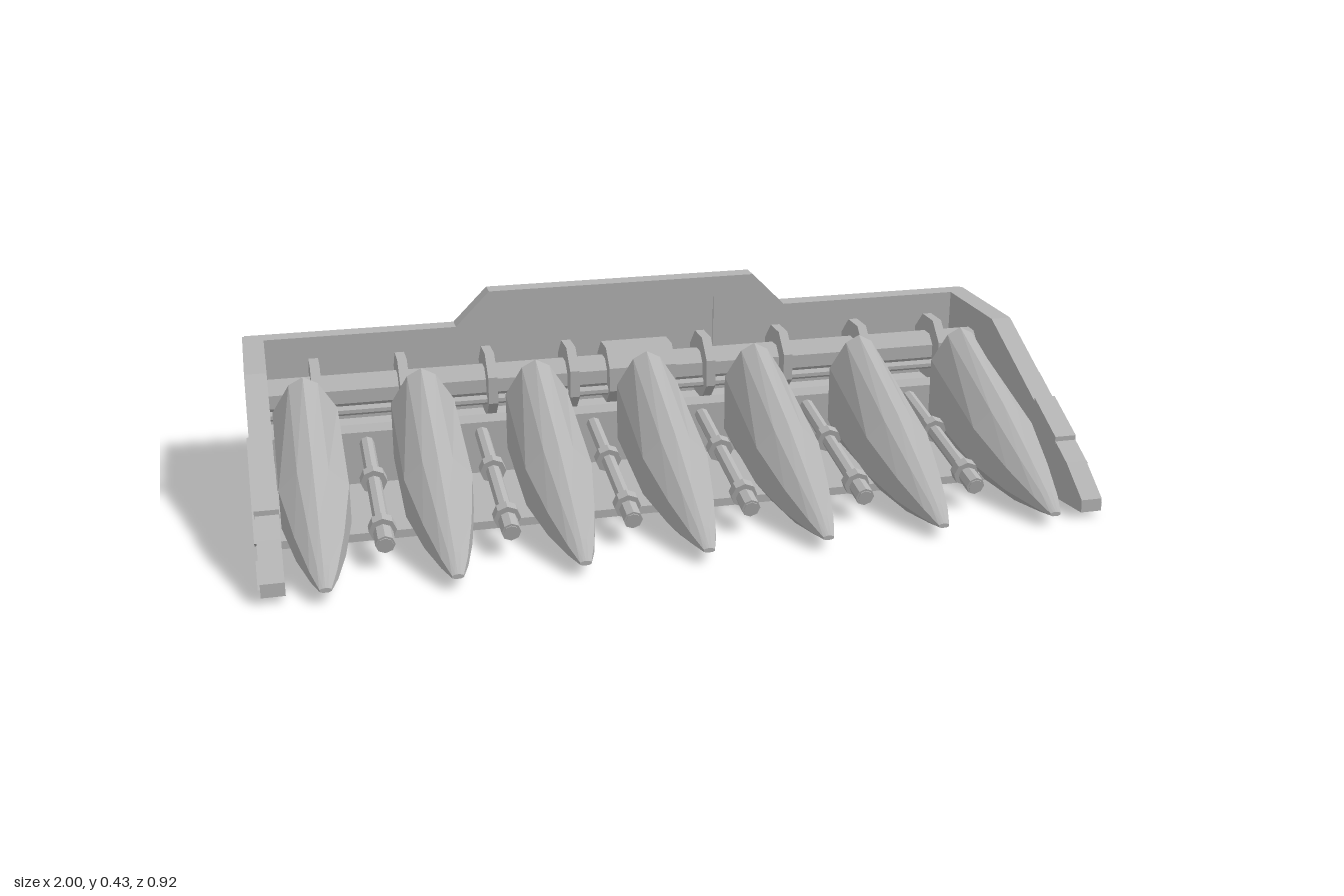
import * as THREE from 'three';

const steel = new THREE.MeshStandardMaterial({ color: 0xb4b4b4, flatShading: true });
steel.name = 'plain grey';

const toShape = pts => new THREE.Shape(pts.map(p => new THREE.Vector2(...p)));

// Profile in (z, y), extruded across x and centred on cx
function sideProfile(pts, width, cx = 0) {
  const g = new THREE.ExtrudeGeometry(toShape(pts), { depth: width, bevelEnabled: false });
  return g.rotateY(-Math.PI / 2).translate(cx + width / 2, 0, 0);
}

// Rectangle with cut corners in (x, y)
function cutRect(w, y0, y1, c) {
  return [[-w + c, y0], [w - c, y0], [w, y0 + c], [w, y1 - c],
    [w - c, y1], [-w + c, y1], [-w, y1 - c], [-w, y0 + c]];
}

// Snout skinned over cross-sections from back to tip
function snoutGeometry() {
  const sections = [ // z, top, bottom, half width
    [-0.14, 0.32, 0.015, 0.078], [0.15, 0.2, 0.003, 0.08],
    [0.3, 0.125, 0.004, 0.055], [0.41, 0.068, 0.018, 0.03], [0.462, 0.037, 0.026, 0.013]];
  const rings = sections.map(([z, t, b, w]) => {
    const h = t - b;
    const right = [[0.45 * w, t - 0.06 * h], [w, t - 0.28 * h], [w, b + 0.25 * h], [0.5 * w, b]];
    const left = right.map(([x, y]) => [-x, y]).reverse();
    return [[0, t], ...right, ...left].map(([x, y]) => [x, y, z]);
  });
  const pos = [];
  const n = rings[0].length;
  for (let s = 0; s < rings.length - 1; s++) {
    for (let i = 0; i < n; i++) {
      const j = (i + 1) % n;
      const a = rings[s][i], b = rings[s][j], c = rings[s + 1][j], d = rings[s + 1][i];
      pos.push(...a, ...d, ...b, ...b, ...d, ...c);
    }
  }
  // End caps
  const back = rings[0], tip = rings[rings.length - 1];
  for (let i = 1; i < n - 1; i++) {
    pos.push(...back[0], ...back[i], ...back[i + 1]);
    pos.push(...tip[0], ...tip[i + 1], ...tip[i]);
  }
  const g = new THREE.BufferGeometry();
  g.setAttribute('position', new THREE.Float32BufferAttribute(pos, 3));
  g.computeVertexNormals();
  return g;
}

export function createModel() {
  const model = new THREE.Group();
  model.name = 'cropHeader';
  const add = (name, geometry, parent = model) => {
    const m = new THREE.Mesh(geometry, steel);
    m.name = name;
    parent.add(m);
    return m;
  };

  // Back wall with raised centre and a window recess
  const wall = toShape([[-0.99, 0], [0.99, 0], [0.99, 0.34], [0.45, 0.34],
    [0.36, 0.43], [-0.36, 0.43], [-0.45, 0.34], [-0.99, 0.34]]);
  wall.holes.push(new THREE.Path(toShape(cutRect(0.25, 0.12, 0.38, 0.006)).getPoints().reverse()));
  add('backWall', new THREE.ExtrudeGeometry(wall, { depth: 0.05, bevelEnabled: false }).translate(0, 0, -0.452));
  add('recessPanel', new THREE.BoxGeometry(0.5, 0.26, 0.02).translate(0, 0.25, -0.418));

  // Raised frame round the recess
  const frame = toShape(cutRect(0.285, 0.09, 0.412, 0.02));
  frame.holes.push(new THREE.Path(toShape(cutRect(0.25, 0.12, 0.38, 0.006)).getPoints().reverse()));
  add('backFrame', new THREE.ExtrudeGeometry(frame, {
    depth: 0.008, bevelEnabled: false }).translate(0, 0, -0.462));

  // Floor, auger trough and front beam
  add('troughFloor', sideProfile([[-0.41, 0], [0.15, 0], [0.15, 0.02], [-0.14, 0.03], [-0.14, 0.165],
    [-0.2, 0.165], [-0.22, 0.09], [-0.31, 0.06], [-0.36, 0.09], [-0.41, 0.115]], 1.9));

  // Side panels with outer plate, top cap and nose plate
  for (const s of [-1, 1]) {
    const side = new THREE.Group();
    side.name = s > 0 ? 'leftSide' : 'rightSide';
    model.add(side);
    add('sidePanel', sideProfile([[-0.445, 0], [0.3, 0], [0.432, 0.014], [0.43, 0.045],
      [0.34, 0.108], [-0.13, 0.34], [-0.445, 0.34]], 0.053, s * 0.9685), side);
    add('outerPlate', sideProfile([[0.285, 0.073], [0.338, 0.102], [0.05, 0.245], [0.0, 0.215]],
      0.006, s * 0.997), side);
    add('edgeCap', sideProfile([[0.275, 0.13], [0.275, 0.152], [0.15, 0.213], [0.15, 0.19]],
      0.055, s * 0.9685), side);
    add('nosePlate', sideProfile([[0.34, 0.011], [0.425, 0.03], [0.362, 0.072]], 0.006, s * 0.997), side);
  }

  // Auger: shaft, lower rod, flight discs and middle paddle
  const auger = new THREE.Group();
  auger.name = 'auger';
  auger.position.set(0, 0.235, -0.255);
  model.add(auger);
  const bar = (r, len, sides) => new THREE.CylinderGeometry(r, r, len, sides)
    .rotateY(Math.PI / sides).rotateZ(Math.PI / 2);
  add('augerShaft', bar(0.045, 1.9, 8), auger);
  add('lowerRod', bar(0.012, 1.9, 8), auger).position.set(0, -0.035, 0.045);
  add('middlePaddle', bar(0.08, 0.175, 8), auger);
  for (const x of [0.825, 0.61, 0.39, 0.18]) {
    for (const s of [-1, 1]) add('flightDisc', bar(0.09, 0.024, 8), auger).position.x = s * x;
  }

  // Seven snouts
  const spacing = 0.286;
  const snout = snoutGeometry();
  for (let i = -3; i <= 3; i++) add('snout', snout).position.x = i * spacing;

  // Tilted picking roller in each gap
  for (let i = -3; i < 3; i++) {
    const roller = new THREE.Group();
    roller.name = 'pickingRoller';
    roller.position.set((i + 0.5) * spacing, 0.1, 0.095);
    roller.rotation.x = 0.18;
    model.add(roller);
    const piece = (name, r, len, z) => add(name,
      new THREE.CylinderGeometry(r, r, len, 8).rotateX(Math.PI / 2).translate(0, 0, z), roller);
    piece('rollerShaft', 0.018, 0.455, 0);
    piece('rollerTip', 0.023, 0.05, 0.2);
    piece('frontRing', 0.032, 0.025, 0.155);
    piece('rearRing', 0.032, 0.025, -0.055);
  }
  return model;
}
